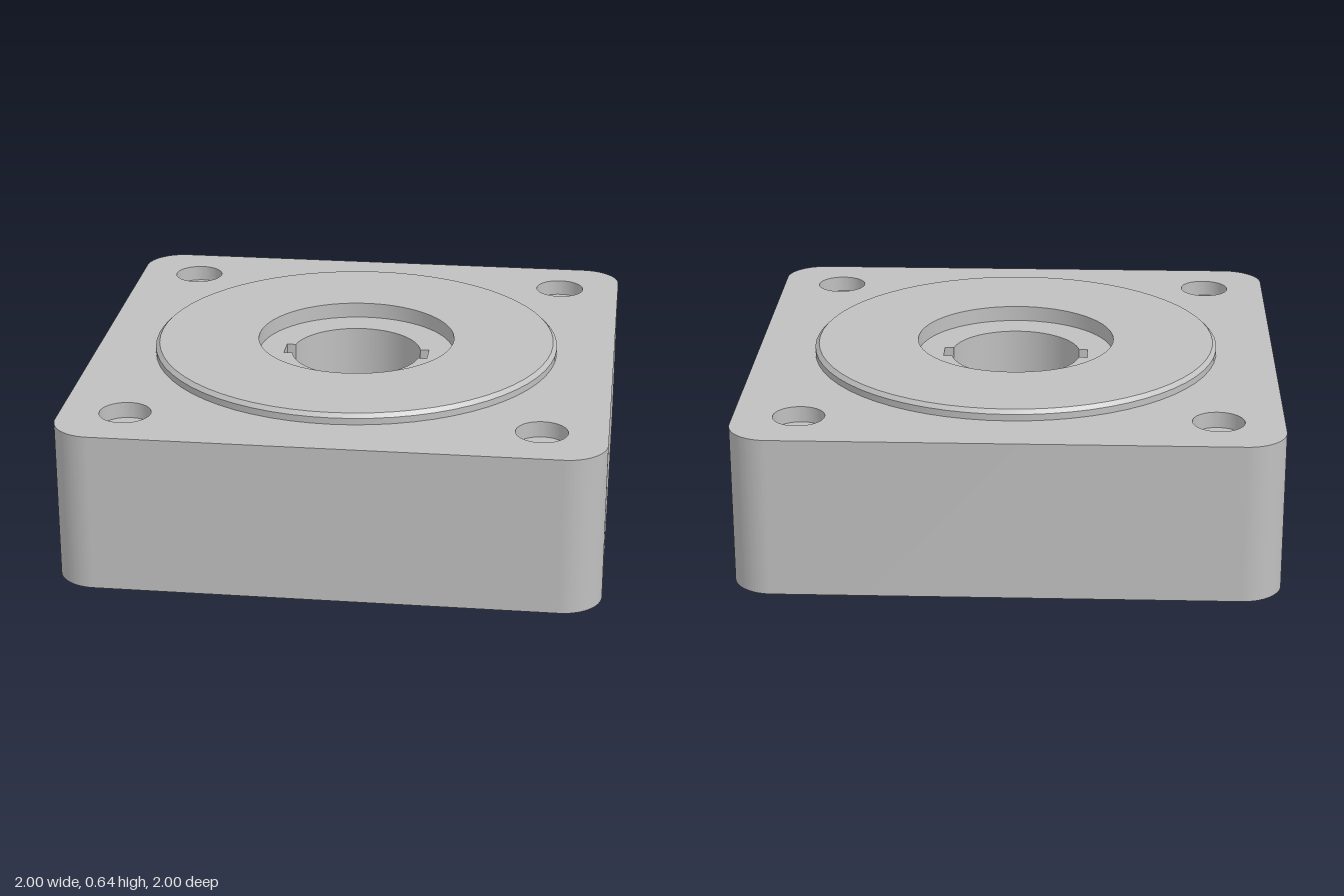
import * as THREE from 'three';
import { mergeGeometries, toCreasedNormals } from 'three/addons/utils/BufferGeometryUtils.js';

const SEGS = 32;

// Outlines in plan, all counter-clockwise
function circle(r, x = 0, y = 0) {
  const s = new THREE.Shape();
  s.absarc(x, y, r, 0, Math.PI * 2, false);
  return s;
}

function roundedSquare(h, r) {
  const s = new THREE.Shape();
  const c = h - r;
  s.absarc(c, c, r, 0, Math.PI / 2, false);
  s.absarc(-c, c, r, Math.PI / 2, Math.PI, false);
  s.absarc(-c, -c, r, Math.PI, Math.PI * 1.5, false);
  s.absarc(c, -c, r, Math.PI * 1.5, Math.PI * 2, false);
  s.closePath();
  return s;
}

function keyedBore(r, reach, half) {
  const s = new THREE.Shape();
  const a = Math.asin(half / r);
  s.moveTo(reach, -half);
  s.lineTo(reach, half);
  s.absarc(0, 0, r, a, Math.PI - a, false);
  s.lineTo(-reach, half);
  s.lineTo(-reach, -half);
  s.absarc(0, 0, r, Math.PI + a, Math.PI * 2 - a, false);
  s.closePath();
  return s;
}

// Flat face at height y with holes, facing up or down
function face(outline, holes, y, up) {
  const s = outline.clone();
  s.holes = holes;
  const g = new THREE.ShapeGeometry(s, SEGS).toNonIndexed();
  g.rotateX(up ? -Math.PI / 2 : Math.PI / 2);
  g.translate(0, y, 0);
  g.deleteAttribute('uv');
  return g;
}

// Side surface between two matching outlines, facing out or in
function wall(low, y0, y1, inward = false, high = low) {
  const a = low.getPoints(SEGS), b = high.getPoints(SEGS);
  const pos = [];
  for (let i = 0; i < a.length; i++) {
    const j = (i + 1) % a.length;
    if (a[i].distanceTo(a[j]) < 1e-6) continue;
    const p = [a[i].x, y0, -a[i].y], q = [a[j].x, y0, -a[j].y];
    const r = [b[j].x, y1, -b[j].y], s = [b[i].x, y1, -b[i].y];
    if (inward) pos.push(...p, ...r, ...q, ...p, ...s, ...r);
    else pos.push(...p, ...q, ...r, ...p, ...r, ...s);
  }
  const g = new THREE.BufferGeometry();
  g.setAttribute('position', new THREE.Float32BufferAttribute(pos, 3));
  return toCreasedNormals(g, 0.5);
}

export function createModel() {
  const grey = new THREE.MeshStandardMaterial({ color: 0xc0c0c0 });
  grey.name = 'light grey';
  const group = new THREE.Group();
  group.name = 'bearingHousing';
  const add = (name, parts) => {
    const mesh = new THREE.Mesh(mergeGeometries(parts), grey);
    mesh.name = name;
    group.add(mesh);
  };

  const topY = 0.6, ceilingY = 0.53, lipY = 0.07, discY = 0.64;
  const recessY = 0.58, bossY = 0.18, boreFloorY = 0.235, sinkY = 0.54;
  const corners = [[1, 1], [-1, 1], [-1, -1], [1, -1]].map(([x, z]) => [x * 0.76, z * 0.76]);
  const atCorners = (r) => corners.map(([x, z]) => circle(r, x, z));

  const outer = roundedSquare(1, 0.15);
  const lip = roundedSquare(0.97, 0.12);
  const pocket = roundedSquare(0.93, 0.08);
  const disc = circle(0.78), discTop = circle(0.765), recess = circle(0.38);
  const bore = keyedBore(0.25, 0.28, 0.045);
  const boss = circle(0.33), shaft = circle(0.15);

  // Square shell, open below, with a stepped lip around the rim
  add('shell', [
    wall(outer, 0, topY),
    face(outer, [disc, ...atCorners(0.095)], topY, true),
    face(outer, [lip], 0, false),
    wall(lip, 0, lipY, true),
    face(lip, [pocket], lipY, false),
    wall(pocket, lipY, ceilingY, true),
    face(pocket, [boss, ...atCorners(0.118)], ceilingY, false),
  ]);

  // Raised disc with a chamfered edge
  add('raisedDisc', [
    wall(disc, topY, 0.625),
    wall(disc, 0.625, discY, false, discTop),
    face(discTop, [recess], discY, true),
  ]);

  // Shallow round recess in the disc
  add('recess', [
    wall(recess, recessY, discY, true),
    face(recess, [bore], recessY, true),
  ]);

  // Bore with two key slots and a smaller shaft hole in its floor
  add('keyedBore', [
    wall(bore, boreFloorY, recessY, true),
    face(bore, [shaft], boreFloorY, true),
    wall(shaft, bossY, boreFloorY, true),
  ]);

  // Boss around the bore, hanging from the ceiling
  add('centreBoss', [
    wall(boss, bossY, ceilingY),
    face(boss, [shaft], bossY, false),
  ]);

  // Corner screw posts, each with a counterbore and a through hole
  corners.forEach(([x, z], i) => {
    const hole = circle(0.043, x, z), sink = circle(0.095, x, z), post = circle(0.118, x, z);
    add('screwPost' + (i + 1), [
      wall(post, 0, ceilingY),
      face(post, [hole], 0, false),
      wall(hole, 0, sinkY, true),
      face(sink, [hole], sinkY, true),
      wall(sink, sinkY, topY, true),
    ]);
  });

  // Face-down caps mirror z, which the symmetric corner layout absorbs
  const flip = group.children.filter((m) => m.name.startsWith('screwPost'));
  flip.forEach((m) => { m.userData.part = 'post'; });
  return group;
}
